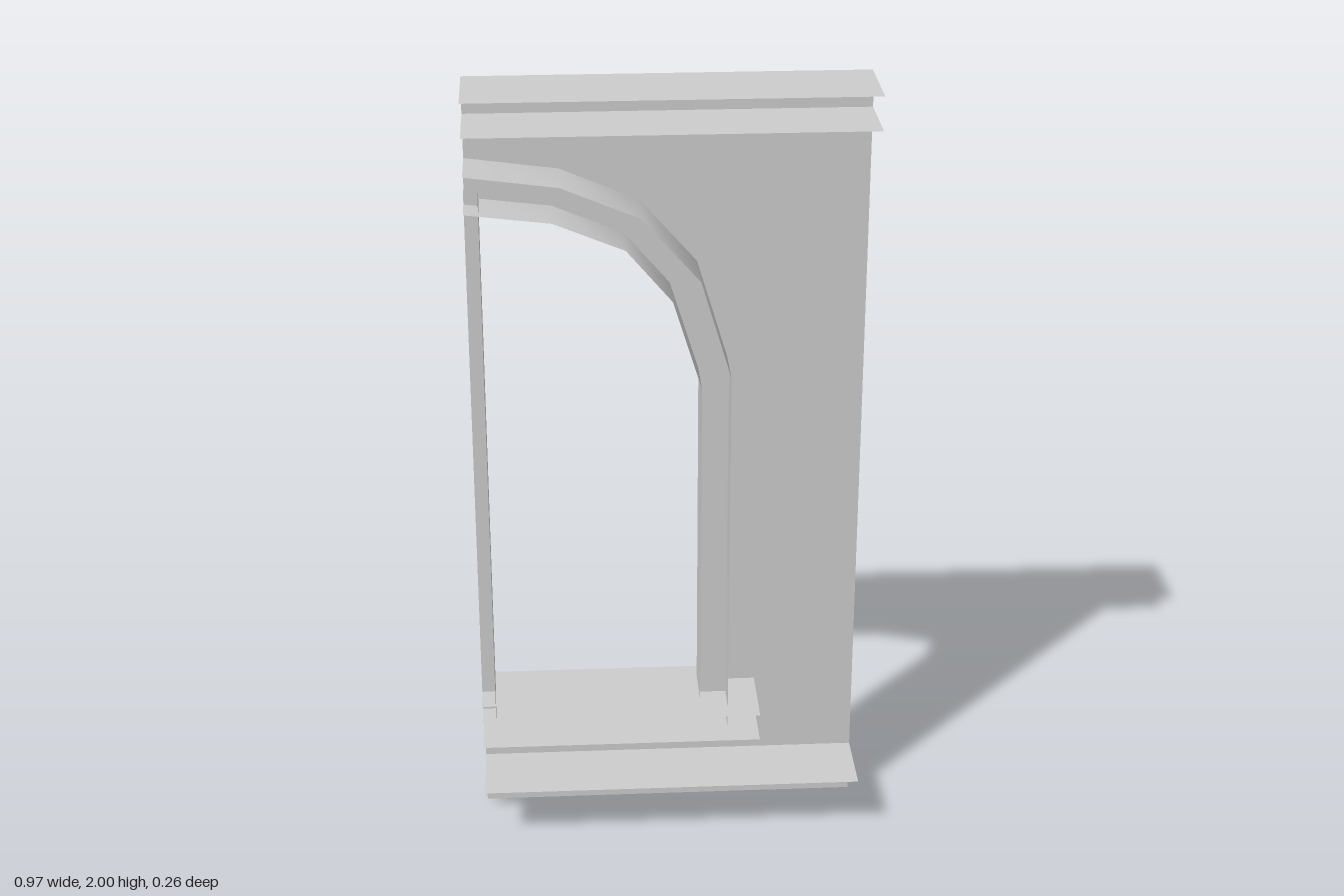
import * as THREE from 'three';

const material = new THREE.MeshStandardMaterial({ color: 0xcccccc, side: THREE.DoubleSide });
const LEFT = 0.484, RIGHT = -0.484, FRONT = 0.13;

// Arch profiles (x, y), from the foot of the jamb up to the crown at the cut edge
const outerArch = [[0.145, 0.31], [0.145, 1.29], [0.07, 1.54], [-0.07, 1.7], [-0.26, 1.78], [RIGHT, 1.81]];
const innerArch = [[0.07, 0.42], [0.07, 1.285], [0, 1.51], [-0.11, 1.64], [-0.28, 1.71], [RIGHT, 1.735]];

function addMesh(group, name, geometry) {
  const mesh = new THREE.Mesh(geometry, material);
  mesh.name = name;
  group.add(mesh);
}

// Open sheet: a line of points swept along a straight offset
function sweep(points, offset, smooth = false) {
  const positions = [], index = [];
  points.forEach((p, i) => {
    positions.push(...p, p[0] + offset[0], p[1] + offset[1], p[2] + offset[2]);
    if (i > 0) {
      const a = 2 * i - 2;
      index.push(a, a + 2, a + 3, a, a + 3, a + 1);
    }
  });
  let geometry = new THREE.BufferGeometry();
  geometry.setAttribute('position', new THREE.Float32BufferAttribute(positions, 3));
  geometry.setIndex(index);
  if (!smooth) geometry = geometry.toNonIndexed();
  geometry.computeVertexNormals();
  return geometry;
}

// Flat sheet facing the back, at depth z
function panel(outline, z) {
  const geometry = new THREE.ShapeGeometry(new THREE.Shape(outline.map(p => new THREE.Vector2(...p))));
  geometry.index.array.reverse();
  const normals = geometry.attributes.normal;
  for (let i = 0; i < normals.count; i++) normals.setZ(i, -1);
  return geometry.translate(0, 0, z);
}

// Horizontal moulding: (y, z) profile swept along x
const moulding = (profile, from, to) =>
  sweep(profile.map(([y, z]) => [from, y, z]), [to - from, 0, 0]);

// Curved lining of an opening between two depths
const reveal = (arch, front, back) =>
  sweep(arch.map(([x, y]) => [x, y, front]), [0, 0, back - front], true);

export function createModel() {
  const group = new THREE.Group();
  group.name = 'archedWindowWall';

  // Wall sheet around the half opening
  addMesh(group, 'wall', panel([
    [RIGHT, 0.02], [LEFT, 0.02], [LEFT, 1.95], [RIGHT, 1.95],
    ...[...outerArch].reverse(), [RIGHT, 0.31],
  ], -0.06));
  addMesh(group, 'wallReveal', reveal(outerArch, 0.083, -0.06));

  // Window frame set back inside the opening
  addMesh(group, 'windowFrame', panel([
    [RIGHT, 0.31], ...outerArch, ...[...innerArch].reverse(), [RIGHT, 0.42],
  ], 0.003));
  addMesh(group, 'frameReveal', reveal(innerArch, FRONT, 0.003));
  addMesh(group, 'frameLedge', sweep([[RIGHT, 0.42, FRONT], [0.07, 0.42, FRONT]], [0, 0, 0.003 - FRONT]));

  // Half of the centre mullion
  addMesh(group, 'mullion', sweep(
    [[-0.449, 0.355, FRONT], [-0.449, 0.355, 0.055], [RIGHT, 0.355, 0.055]], [0, 1.417, 0]));

  // Sill with its closed end
  addMesh(group, 'sill', moulding(
    [[0.298, FRONT], [0.298, -0.13], [0.37, -0.13], [0.37, FRONT]], RIGHT, 0.225));
  addMesh(group, 'sillEnd', sweep([[0.225, 0.298, FRONT], [0.225, 0.298, -0.13]], [0, 0.072, 0]));

  // Cornice and plinth, open towards the inside
  addMesh(group, 'cornice', moulding(
    [[1.918, FRONT], [1.918, -0.088], [2, -0.088], [2, FRONT]], RIGHT, LEFT));
  addMesh(group, 'plinth', moulding([[0.16, FRONT], [0.16, -0.116], [0, -0.116]], LEFT, RIGHT));

  return group;
}
